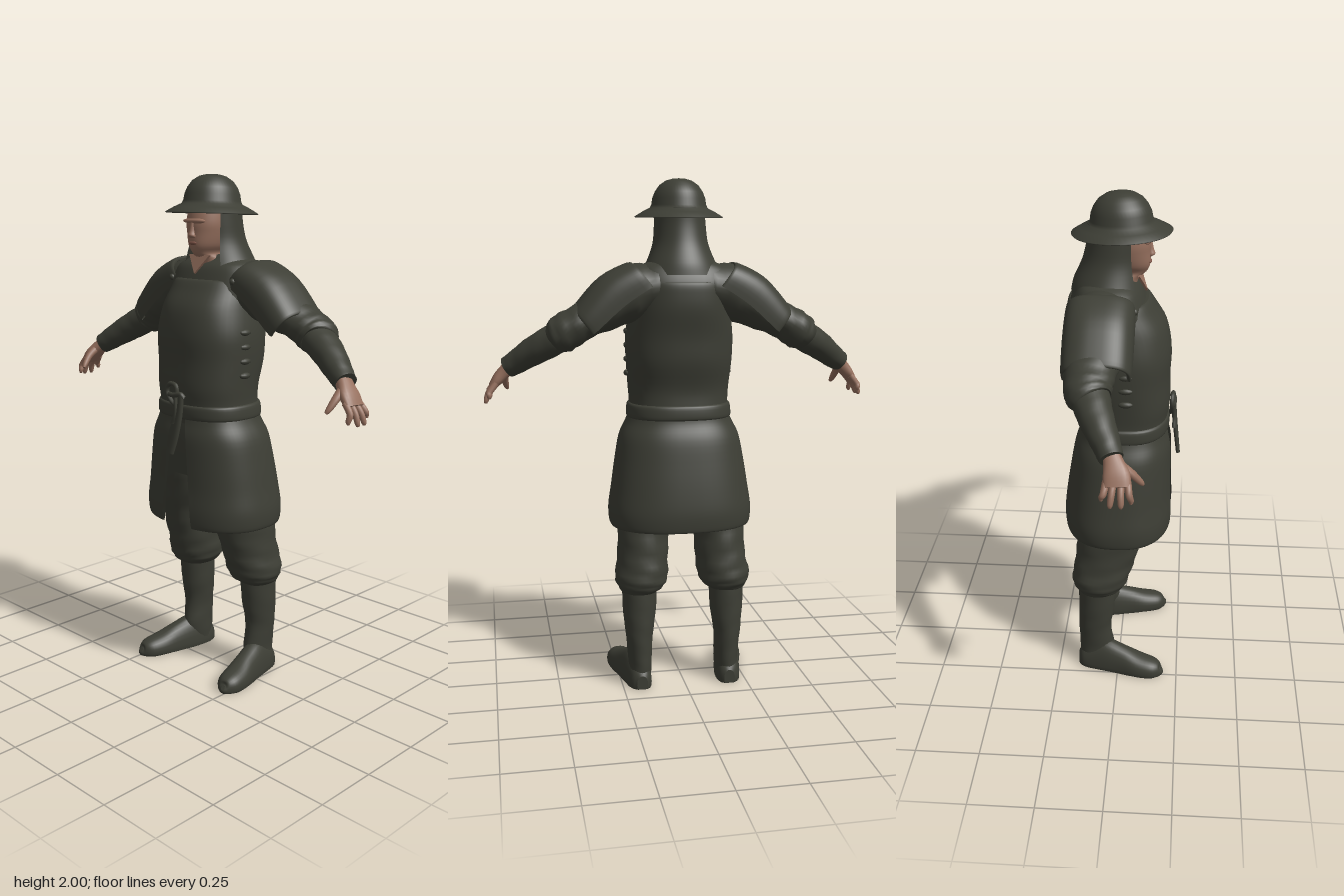
import * as THREE from 'three';

const cloth = new THREE.MeshStandardMaterial({ color: 0x3d3e35, side: THREE.DoubleSide });
cloth.name = 'dark olive cloth';
const skin = new THREE.MeshStandardMaterial({ color: 0x96705e });
skin.name = 'skin';
const lipSkin = new THREE.MeshStandardMaterial({ color: 0x7f5548 });
lipSkin.name = 'lip skin';

const Y = new THREE.Vector3(0, 1, 0), Z = new THREE.Vector3(0, 0, 1);

// Catmull-Rom resampling of every column of a section list
function resample(rows, k) {
  const out = [], last = rows.length - 1;
  for (let i = 0; i <= last * k; i++) {
    const s = Math.min(Math.floor(i / k), last - 1), t = i / k - s;
    const [a, b, c, d] = [s - 1, s, s + 1, s + 2].map(n => rows[Math.max(0, Math.min(last, n))]);
    out.push(b.map((q, n) => 0.5 * (2 * q + (c[n] - a[n]) * t + (2 * a[n] - 5 * q + 4 * c[n] - d[n]) * t * t
      + (3 * q - a[n] - 3 * c[n] + d[n]) * t * t * t)));
  }
  return out;
}

// Skin over rings. Section: [x, y, z, halfAcross, halfHint, gapAngle]; gap trims both ends of the arc.
function loft(rows, { hint = Z, axis = null, exp = 2, arc = null, seg = 32, k = 4, caps = true, fold = 0, floor = false } = {}) {
  const R = resample(rows, k), pos = [], idx = [], n = arc ? seg + 1 : seg;
  const C = R.map(r => new THREE.Vector3(r[0], r[1], r[2]));
  const pw = q => Math.sign(q) * Math.abs(q) ** (2 / exp);
  R.forEach((r, i) => {
    const t = axis ? axis.clone() : C[Math.min(i + 1, C.length - 1)].clone().sub(C[Math.max(i - 1, 0)]).normalize();
    const u = t.clone().cross(hint).normalize(), v = u.clone().cross(t), g = r[5] || 0;
    for (let j = 0; j < n; j++) {
      const a = arc ? arc[0] + g + (arc[1] - arc[0] - 2 * g) * j / seg : 2 * Math.PI * j / seg;
      const w = 1 + fold * Math.sin(2 * a + 1.9 * i) + fold * 0.6 * Math.sin(5 * a - i);
      const p = C[i].clone().addScaledVector(u, r[3] * w * pw(Math.sin(a))).addScaledVector(v, r[4] * w * pw(Math.cos(a)));
      pos.push(p.x, floor ? Math.max(0, p.y) : p.y, p.z);
    }
  });
  for (let i = 0; i < R.length - 1; i++) for (let j = 0; j < seg; j++) {
    const a = i * n + j, b = i * n + (j + 1) % n;
    idx.push(a, b, a + n, b, b + n, a + n);
  }
  // flat end caps with their own vertices
  if (caps && !arc) for (const [i, flip] of [[0, true], [R.length - 1, false]]) {
    const base = pos.length / 3;
    for (let j = 0; j < n; j++) pos.push(...pos.slice((i * n + j) * 3, (i * n + j) * 3 + 3));
    pos.push(C[i].x, Math.max(floor ? 0 : -9, C[i].y), C[i].z);
    for (let j = 0; j < n; j++) {
      const a = base + j, b = base + (j + 1) % n;
      idx.push(base + n, flip ? b : a, flip ? a : b);
    }
  }
  const geo = new THREE.BufferGeometry();
  geo.setAttribute('position', new THREE.Float32BufferAttribute(pos, 3));
  geo.setIndex(idx);
  geo.computeVertexNormals();
  return geo;
}

// upright loft from [y, centreZ, halfX, halfZ, gap, x]
const upright = (rows, o = {}) => loft(rows.map(([y, cz, rx, rz, g = 0, x = 0]) => [x, y, cz, rx, rz, g]), { axis: Y, exp: 2.4, seg: 48, ...o });

function mirrored(geo) {
  const m = geo.clone().scale(-1, 1, 1), ix = m.index.array;
  for (let i = 0; i < ix.length; i += 3) [ix[i], ix[i + 1]] = [ix[i + 1], ix[i]];
  m.computeVertexNormals();
  return m;
}

export function createModel() {
  const model = new THREE.Group();
  model.name = 'soldier';
  const add = (name, geo, mat = cloth, parent = model) => {
    const m = new THREE.Mesh(geo, mat);
    m.name = name;
    parent.add(m);
    return m;
  };
  const pair = (name, geo, mat = cloth) => {
    add(name + 'Left', geo, mat);
    add(name + 'Right', mirrored(geo), mat);
  };

  // helmet with a wide sloping brim
  const profile = [[0.085, -0.005], [0.13, -0.008], [0.168, -0.019], [0.171, -0.015], [0.14, 0.004], [0.112, 0.018], [0.106, 0.03],
    [0.102, 0.055], [0.092, 0.08], [0.075, 0.104], [0.05, 0.121], [0.025, 0.128], [0, 0.13]].map(p => new THREE.Vector2(...p));
  const helmet = add('helmet', new THREE.LatheGeometry(profile, 48));
  helmet.scale.z = 1.09;
  helmet.position.set(0, 1.87, 0.004);
  helmet.rotation.x = -0.04;

  // cloth neck guard, open over the face
  add('neckGuard', upright([[1.635, -0.045, 0.158, 0.14, 0.72], [1.68, -0.042, 0.135, 0.132, 0.76], [1.75, -0.03, 0.108, 0.112, 0.85],
    [1.82, -0.02, 0.1, 0.105, 0.95], [1.885, -0.015, 0.096, 0.105, 1]], { arc: [0, 2 * Math.PI], exp: 2 }));

  // head, face and the bare throat
  add('head', upright([[1.58, -0.01, 0.06, 0.06], [1.675, 0.005, 0.056, 0.06], [1.705, 0.025, 0.042, 0.07], [1.735, 0.025, 0.06, 0.084],
    [1.78, 0.02, 0.073, 0.09], [1.83, 0.015, 0.079, 0.095], [1.93, 0.005, 0.07, 0.085]], { exp: 2.1 }), skin);
  add('nose', loft([[0, 1.763, 0.104, 0.014, 0.01], [0, 1.772, 0.112, 0.016, 0.015], [0, 1.79, 0.109, 0.011, 0.012],
    [0, 1.825, 0.104, 0.009, 0.01]], { axis: Y, seg: 16 }), skin);
  const brow = add('brow', new THREE.SphereGeometry(1, 20, 10), skin);
  brow.scale.set(0.058, 0.011, 0.018);
  brow.position.set(0, 1.826, 0.099);
  const lips = add('lips', new THREE.SphereGeometry(1, 16, 8), lipSkin);
  lips.scale.set(0.022, 0.007, 0.007);
  lips.position.set(0, 1.744, 0.108);
  const vee = new THREE.Shape([[0, 0], [0.055, 0.075], [-0.055, 0.075]].map(p => new THREE.Vector2(...p)));
  const throat = add('throat', new THREE.ExtrudeGeometry(vee, { depth: 0.008, bevelEnabled: false }), skin);
  throat.position.set(0, 1.627, 0.094);
  throat.rotation.x = -0.38;

  // shoulders of the tunic and its lower panel behind the slit
  add('tunicShoulders', upright([[1.45, -0.02, 0.19, 0.16], [1.54, -0.035, 0.2, 0.155], [1.6, -0.045, 0.205, 0.143],
    [1.655, -0.045, 0.185, 0.118], [1.685, -0.05, 0.125, 0.09], [1.7, -0.04, 0.08, 0.07]]));
  add('tunicPanel', upright([[0.85, 0, 0.22, 0.172], [1, 0.008, 0.205, 0.172], [1.12, 0.015, 0.18, 0.15]]));

  // padded vest and flared skirt with a front slit
  add('vest', upright([[1.06, 0.016, 0.203, 0.168], [1.13, 0.02, 0.196, 0.166], [1.2, 0.024, 0.2, 0.17], [1.3, 0.01, 0.208, 0.182],
    [1.4, 0.007, 0.21, 0.188], [1.5, -0.011, 0.195, 0.188], [1.57, -0.032, 0.182, 0.168], [1.6, -0.04, 0.174, 0.156], [1.608, -0.042, 0.165, 0.148]]));
  add('skirt', upright([[0.95, 0, 0.235, 0.182, 0.19], [0.8, -0.005, 0.258, 0.197, 0.22], [0.665, -0.007, 0.268, 0.202, 0.24],
    [0.647, -0.007, 0.276, 0.21, 0.235], [0.665, -0.007, 0.284, 0.216, 0.225], [0.72, -0.007, 0.286, 0.218, 0.21], [0.8, -0.005, 0.274, 0.211, 0.19],
    [0.9, 0.002, 0.259, 0.202, 0.17], [1, 0.01, 0.24, 0.191, 0.15], [1.06, 0.016, 0.212, 0.173, 0.12], [1.09, 0.017, 0.2, 0.167, 0.1]],
  { arc: [0, 2 * Math.PI], seg: 64 }));
  add('belt', upright([[1.075, 0.017, 0.2, 0.165], [1.085, 0.017, 0.208, 0.175], [1.125, 0.019, 0.205, 0.174], [1.135, 0.02, 0.195, 0.165]]));

  // belt knot: loop and hanging tails
  const cord = (name, pts, r) => add(name, new THREE.TubeGeometry(
    new THREE.CatmullRomCurve3(pts.map(p => new THREE.Vector3(...p))), 32, r, 8));
  cord('knotLoop', [[0, 1.125, 0.197], [-0.03, 1.15, 0.202], [-0.048, 1.185, 0.203], [-0.03, 1.212, 0.204], [0.005, 1.208, 0.206], [0.012, 1.175, 0.206]], 0.009);
  cord('knotBar', [[-0.035, 1.17, 0.203], [0, 1.172, 0.211], [0.035, 1.178, 0.208], [0.047, 1.165, 0.203]], 0.01);
  const tail = loft([[0.036, 1.175, 0.208, 0.013, 0.009], [0.03, 1.1, 0.212, 0.015, 0.01], [0.015, 1.01, 0.222, 0.017, 0.009],
    [0, 0.945, 0.23, 0.014, 0.008]], { seg: 12 });
  add('knotTail', tail);
  cord('knotShortTail', [[0.005, 1.17, 0.208], [0.008, 1.1, 0.212], [-0.01, 1.06, 0.212]], 0.008);

  // side ties and strap knots of the vest
  for (const s of [-1, 1]) {
    for (let i = 0; i < 4; i++) {
      const tie = add('sideTie', new THREE.SphereGeometry(0.014, 12, 8));
      tie.position.set(s * 0.203, 1.25 + i * 0.055, 0.03);
      tie.scale.set(1, 0.9, 2);
    }
    const knot = add('strapKnot', new THREE.SphereGeometry(0.013, 12, 8));
    knot.position.set(s * 0.165, 1.605, 0.06);
  }

  // sleeves
  pair('upperSleeve', loft([[0.1, 1.59, -0.06, 0.09, 0.115], [0.2, 1.565, -0.065, 0.105, 0.118], [0.3, 1.505, -0.07, 0.083, 0.105],
    [0.38, 1.465, -0.08, 0.07, 0.092], [0.44, 1.43, -0.085, 0.073, 0.086], [0.475, 1.408, -0.078, 0.07, 0.08], [0.487, 1.4, -0.072, 0.055, 0.062]],
  { fold: 0.025 }));
  pair('forearmSleeve', loft([[0.42, 1.435, -0.085, 0.058, 0.07], [0.49, 1.395, -0.068, 0.06, 0.068], [0.56, 1.355, -0.04, 0.056, 0.06],
    [0.63, 1.308, -0.005, 0.047, 0.049], [0.67, 1.282, 0.013, 0.041, 0.043]], { fold: 0.015 }));

  // shoulder guards draped over the upper arms
  const down = new THREE.Vector3(0.76, -0.6, 0).normalize();
  pair('shoulderGuard', loft([[0.145, 1.602, -0.06, 0.085, 0.112, 0.02], [0.15, 1.602, -0.062, 0.1, 0.125], [0.25, 1.538, -0.063, 0.112, 0.128],
    [0.35, 1.446, -0.064, 0.1, 0.126], [0.368, 1.43, -0.064, 0.09, 0.118, 0.02], [0.358, 1.44, -0.064, 0.08, 0.108, 0.03]],
  { axis: down, arc: [Math.PI * 0.97, Math.PI * 2.03], exp: 2.7 }));

  // hands
  pair('palm', loft([[0.65, 1.298, 0.008, 0.026, 0.03], [0.675, 1.272, 0.02, 0.026, 0.035], [0.705, 1.24, 0.032, 0.023, 0.046],
    [0.73, 1.207, 0.036, 0.016, 0.046]], { seg: 20, exp: 2.4 }), skin);
  [[-0.002, -0.016, 0.745, 1.163], [0.022, 0.014, 0.757, 1.143], [0.047, 0.05, 0.757, 1.143], [0.07, 0.083, 0.742, 1.152]].forEach(([z0, z1, x, y]) =>
    pair('finger', loft([[0.715, 1.222, z0, 0.013, 0.013], [0.742, 1.188, (z0 + z1) / 2, 0.012, 0.012],
      [x - 0.002, y + 0.012, z1, 0.01, 0.01], [x, y, z1, 0.005, 0.005]], { seg: 10, k: 3 }), skin));
  pair('thumb', loft([[0.68, 1.265, 0.04, 0.018, 0.018], [0.682, 1.235, 0.08, 0.015, 0.015], [0.675, 1.2, 0.11, 0.011, 0.011],
    [0.67, 1.187, 0.12, 0.006, 0.006]], { hint: new THREE.Vector3(1, 0, 0), seg: 10, k: 3 }), skin);

  // bloused trousers
  pair('trouserLeg', upright([[0.385, -0.085, 0.066, 0.07, 0, 0.178], [0.41, -0.078, 0.092, 0.1, 0, 0.17], [0.45, -0.073, 0.105, 0.115, 0, 0.167],
    [0.53, -0.055, 0.1, 0.122, 0, 0.158], [0.65, -0.03, 0.104, 0.13, 0, 0.15], [0.8, -0.01, 0.122, 0.14, 0, 0.12], [0.95, 0, 0.11, 0.14, 0, 0.1]],
  { fold: 0.018, exp: 2.1, seg: 36 }));

  // boots
  pair('bootShaft', upright([[0.03, -0.1, 0.045, 0.06, 0, 0.18], [0.1, -0.09, 0.047, 0.072, 0, 0.177], [0.2, -0.097, 0.053, 0.067, 0, 0.18],
    [0.3, -0.09, 0.065, 0.074, 0, 0.178], [0.42, -0.085, 0.071, 0.076, 0, 0.177]], { exp: 2, seg: 28, fold: 0.01 }));
  pair('bootFoot', loft([[0.178, 0.02, -0.167, 0.022, 0.035], [0.179, 0.02, -0.14, 0.043, 0.07], [0.19, 0.02, -0.06, 0.052, 0.11],
    [0.208, 0.02, 0.02, 0.052, 0.088], [0.225, 0.02, 0.09, 0.056, 0.06], [0.237, 0.02, 0.15, 0.048, 0.045], [0.243, 0.022, 0.18, 0.026, 0.028],
    [0.244, 0.025, 0.187, 0.008, 0.01]], { hint: Y, seg: 28, floor: true, exp: 2.2 }));

  return model;
}
